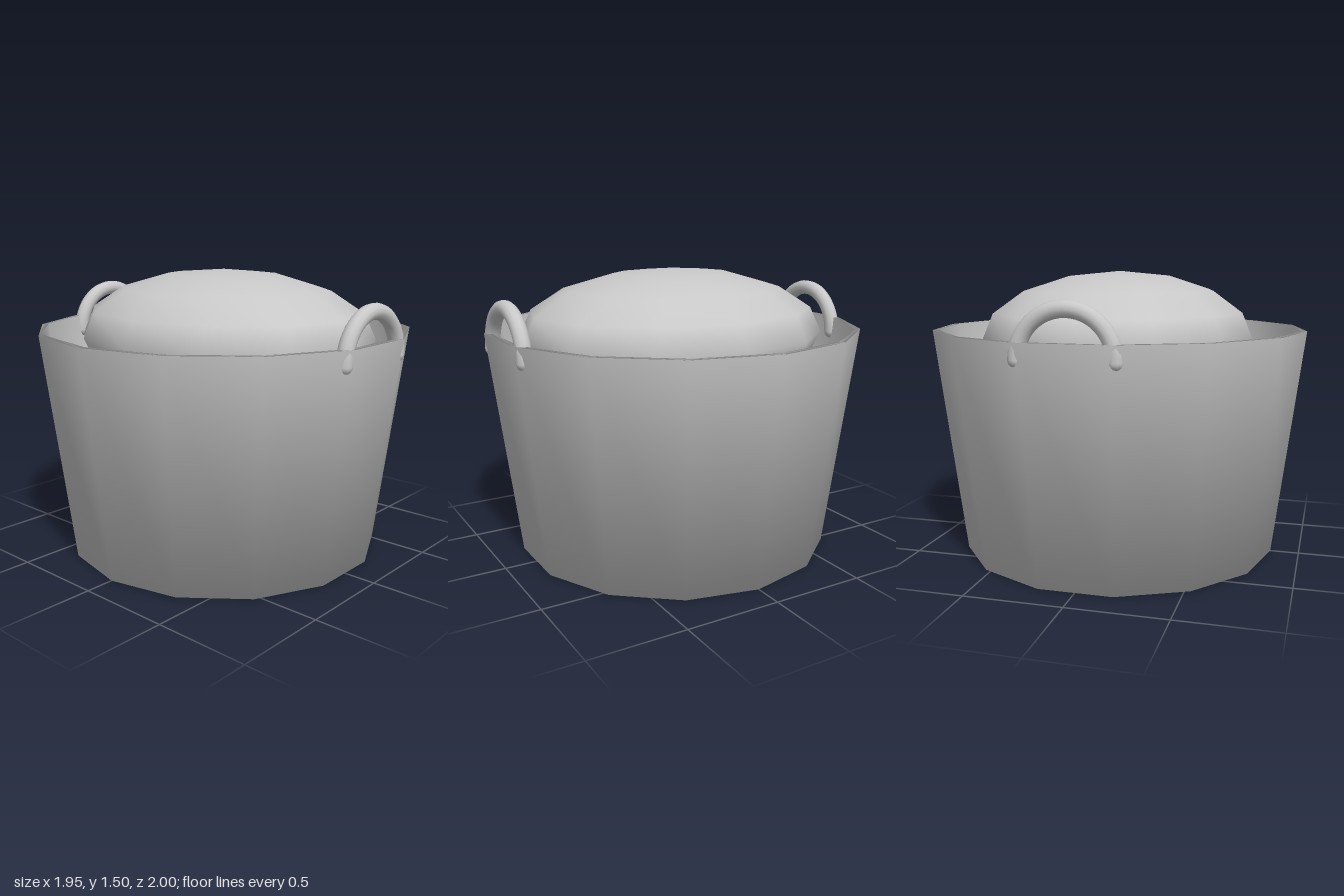
import * as THREE from 'three';

const grey = new THREE.MeshStandardMaterial({ color: 0xc8c8c8 });
grey.name = 'light grey';

function addMesh(parent, name, geometry) {
  const mesh = new THREE.Mesh(geometry, grey);
  mesh.name = name;
  parent.add(mesh);
  return mesh;
}

// Upright half ring with rounded ends, lying in the y-z plane
function makeHandle(name, x) {
  const ringRadius = 0.23, tubeRadius = 0.04;
  const handle = new THREE.Group();
  handle.name = name;
  const arch = new THREE.TorusGeometry(ringRadius, tubeRadius, 12, 24, Math.PI);
  arch.rotateY(Math.PI / 2);
  addMesh(handle, name + 'Arch', arch);
  for (const side of [-1, 1]) {
    const end = new THREE.SphereGeometry(tubeRadius, 12, 6, 0, Math.PI * 2, Math.PI / 2, Math.PI / 2);
    addMesh(handle, name + 'End', end).position.z = side * ringRadius;
  }
  handle.position.set(x, 1.12, 0);
  return handle;
}

export function createModel() {
  const model = new THREE.Group();
  model.name = 'basket';

  // Tapered 14-sided tub: underside, outer wall, rim, inner wall, floor
  const profile = [[0, 0], [0.85, 0], [1, 1.2], [0.965, 1.2], [0.82, 0.04], [0, 0.04]]
    .map(([r, y]) => new THREE.Vector2(r, y));
  addMesh(model, 'tub', new THREE.LatheGeometry(profile, 14));

  // Oval cushion bulging above the rim
  const cushion = new THREE.SphereGeometry(1, 12, 8);
  cushion.scale(0.85, 0.35, 0.72);
  addMesh(model, 'cushion', cushion).position.y = 1.155;

  // Handles on both sides
  model.add(makeHandle('leftHandle', 0.93), makeHandle('rightHandle', -0.93));
  return model;
}
